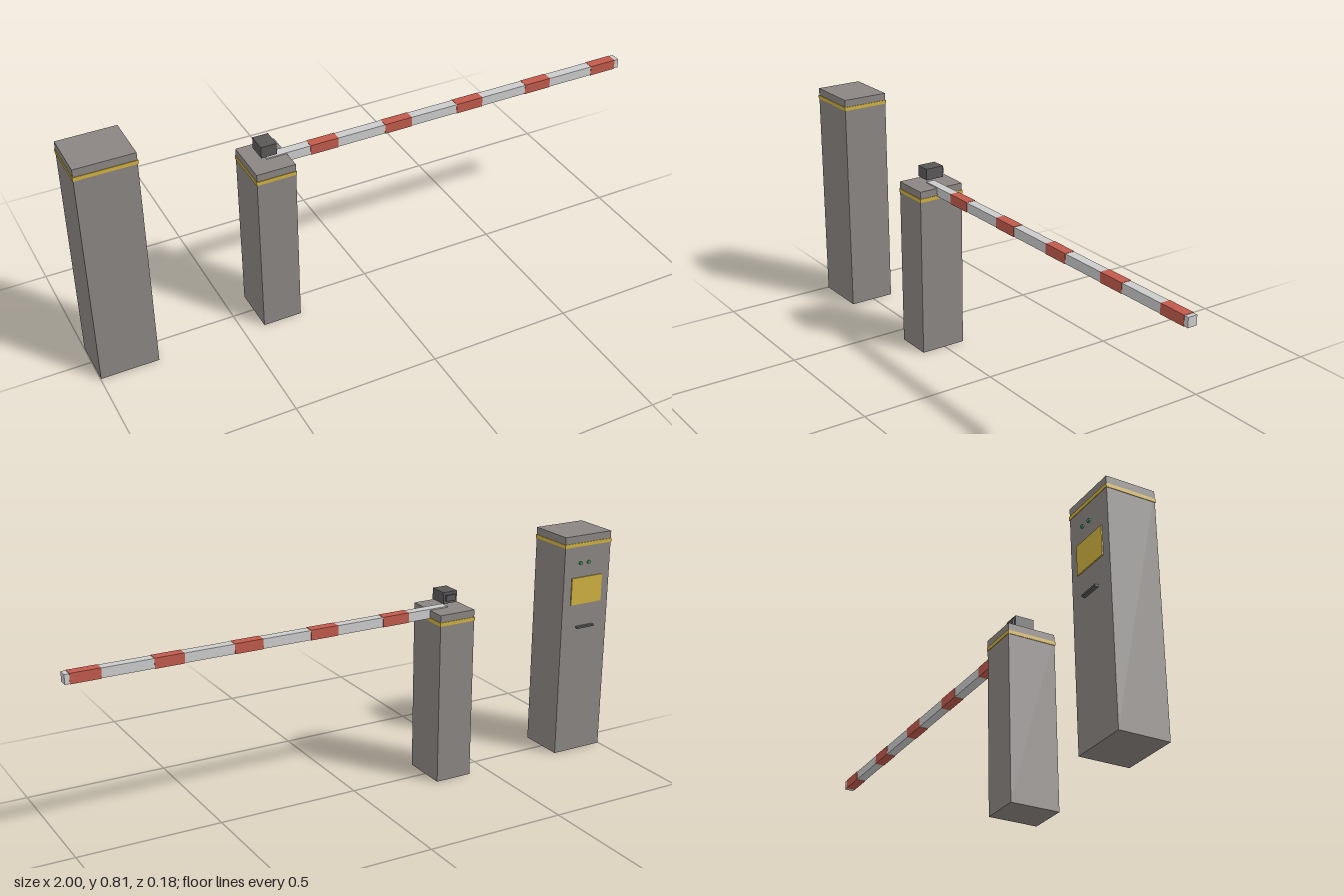
import * as THREE from 'three';

const mat = (color) => new THREE.MeshStandardMaterial({ color });

export function createModel() {
  const model = new THREE.Group();
  const body = mat(0x8a8582), dark = mat(0x5a5757), light = mat(0xcccccc);
  const yellow = mat(0xd0b040), red = mat(0xc05a4c), green = mat(0x3f9a62);

  // Box given by its extents on each axis
  function box(name, [x0, x1], [y0, y1], [z0, z1], material, parent = model) {
    const mesh = new THREE.Mesh(new THREE.BoxGeometry(x1 - x0, y1 - y0, z1 - z0), material);
    mesh.position.set((x0 + x1) / 2, (y0 + y1) / 2, (z0 + z1) / 2);
    mesh.name = name;
    parent.add(mesh);
    return mesh;
  }

  // Cabinet with a slightly proud band near its top
  const depth = [-0.079, 0.09];
  function cabinet(name, x0, x1, height, bandY) {
    const group = new THREE.Group();
    group.name = name;
    model.add(group);
    const e = 0.002;
    box('cabinetBody', [x0, x1], [0, height], depth, body, group);
    box('cabinetBand', [x0 - e, x1 + e], [bandY - 0.0065, bandY + 0.0065],
      [depth[0] - e, depth[1] + e], yellow, group);
    return group;
  }

  // Ticket kiosk, its controls on the back face
  const kiosk = cabinet('ticketKiosk', -0.998, -0.8, 0.813, 0.78);
  box('screen', [-0.966, -0.834], [0.562, 0.661], [-0.083, -0.078], yellow, kiosk);
  box('ticketSlot', [-0.935, -0.864], [0.473, 0.48], [-0.091, -0.078], dark, kiosk);
  for (const x of [-0.868, -0.903]) {
    const button = new THREE.Mesh(new THREE.CylinderGeometry(0.006, 0.006, 0.008, 20), green);
    button.rotation.x = Math.PI / 2;
    button.position.set(x, 0.713, -0.081);
    button.name = 'indicatorButton';
    kiosk.add(button);
  }

  // Barrier post
  cabinet('barrierPost', -0.425, -0.29, 0.611, 0.579);

  // Striped boom arm
  const arm = new THREE.Group();
  arm.name = 'boomArm';
  model.add(arm);
  box('boom', [-0.36, 0.996], [0.582, 0.615], [-0.011, 0.022], light, arm);
  for (let i = 0; i < 5; i++) {
    const x = -0.206 + i * 0.2715;
    box('redStripe', [x, x + 0.1], [0.581, 0.616], [-0.012, 0.023], red, arm);
  }

  // Camera above the post
  const camera = new THREE.Group();
  camera.name = 'camera';
  model.add(camera);
  box('cameraHousing', [-0.385, -0.331], [0.632, 0.672], [-0.029, 0.038], dark, camera);
  box('cameraLens', [-0.376, -0.34], [0.641, 0.662], [-0.036, -0.028], dark, camera);

  return model;
}
